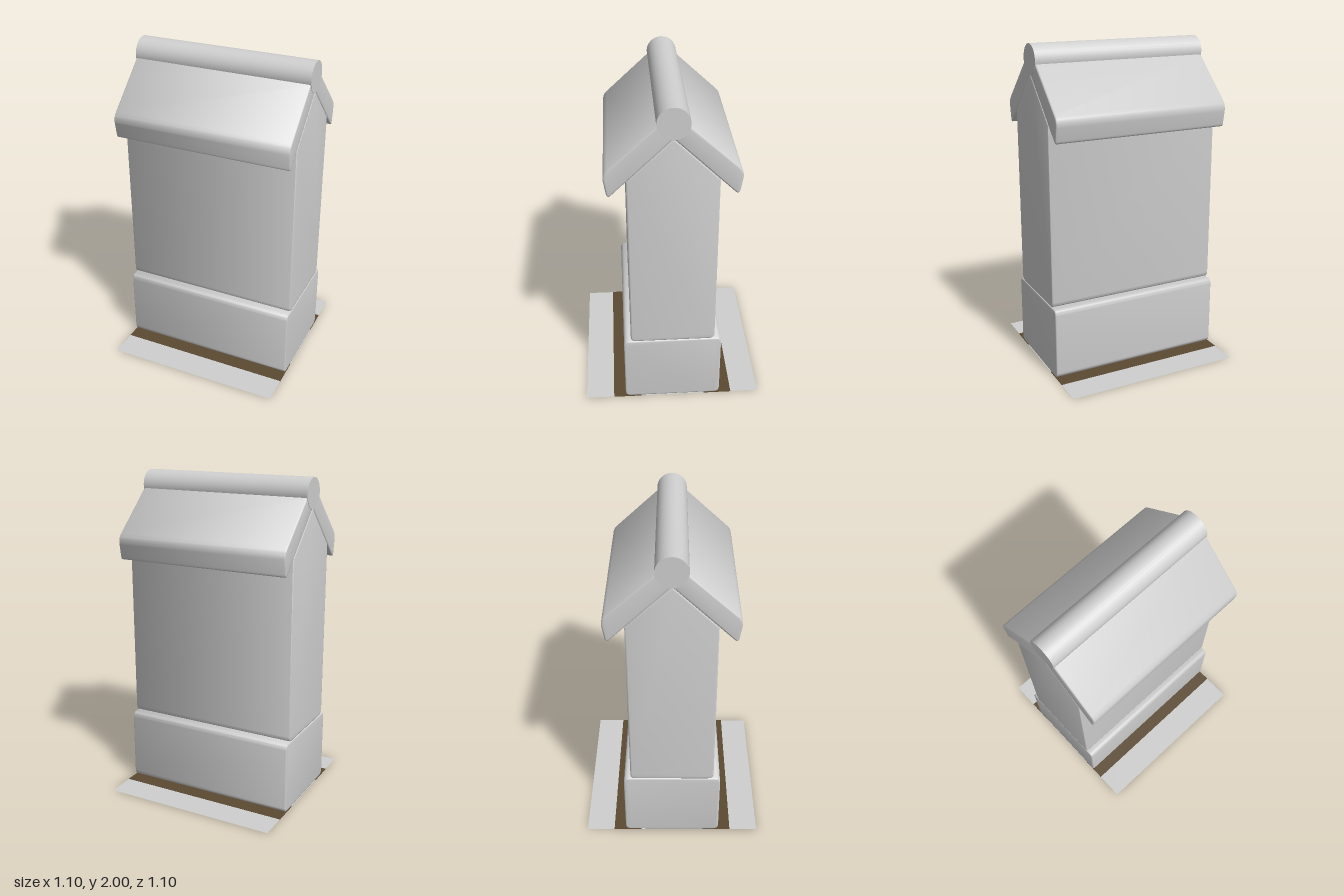
import * as THREE from 'three';
import { toCreasedNormals } from 'three/addons/utils/BufferGeometryUtils.js';

const WIDTH = 1.1;
const BEVEL = 0.006;

// Extrude a (z, y) outline along x; each point is [z, y, cornerRadius]
function prism(points) {
  const shape = new THREE.Shape();
  const n = points.length;
  const at = (i) => new THREE.Vector2(points[(i + n) % n][0], points[(i + n) % n][1]);
  for (let i = 0; i < n; i++) {
    const p = at(i);
    const r = points[i][2] || 0;
    const toward = (q) => p.clone().add(q.sub(p).setLength(r));
    const a = toward(at(i - 1));
    const b = toward(at(i + 1));
    if (i === 0) shape.moveTo(a.x, a.y);
    else shape.lineTo(a.x, a.y);
    if (r > 0) shape.quadraticCurveTo(p.x, p.y, b.x, b.y);
  }
  shape.closePath();
  // Shallow bevel softens the end faces
  const geo = new THREE.ExtrudeGeometry(shape, {
    depth: WIDTH - 2 * BEVEL, curveSegments: 6,
    bevelThickness: BEVEL, bevelSize: 0.01, bevelOffset: -0.01, bevelSegments: 2,
  });
  geo.translate(0, 0, BEVEL - WIDTH / 2);
  geo.rotateY(-Math.PI / 2);
  return toCreasedNormals(geo, 0.75);
}

export function createModel() {
  const model = new THREE.Group();
  model.name = 'gabledWall';
  const stone = new THREE.MeshStandardMaterial({ color: 0xcfcfcf, side: THREE.DoubleSide });
  stone.name = 'lightGrey';
  const earth = new THREE.MeshStandardMaterial({ color: 0x5c4a32 });
  earth.name = 'earthBrown';

  const add = (name, geo, mat = stone) => {
    const mesh = new THREE.Mesh(geo, mat);
    mesh.name = name;
    model.add(mesh);
    return mesh;
  };

  // Flat square plate at the foot
  add('footPlate', new THREE.PlaneGeometry(WIDTH, WIDTH).rotateX(-Math.PI / 2)).position.y = 0.002;

  // Thin earth strips along both long sides of the plinth
  for (const s of [1, -1]) {
    add(s > 0 ? 'frontEarthStrip' : 'backEarthStrip', new THREE.BoxGeometry(WIDTH, 0.004, 0.175), earth)
      .position.set(0, 0.002, s * 0.2875);
  }

  // Rounded plinth
  add('plinth', prism([
    [-0.3, 0.004, 0.035], [0.3, 0.004, 0.035], [0.3, 0.455, 0.035], [-0.3, 0.455, 0.035],
  ]));

  // Wall with gabled top
  add('wall', prism([
    [-0.257, 0.455, 0.035], [0.257, 0.455, 0.035], [0.257, 1.573], [0, 1.822], [-0.257, 1.573],
  ]));

  // Mirrored roof slabs with rounded eaves
  for (const s of [1, -1]) {
    const slab = [
      [0, 1.822], [0.362, 1.471, 0.032], [0.386, 1.617, 0.04], [0.095, 1.886], [0, 1.95],
    ].map(([z, y, r]) => [z * s, y, r]);
    if (s < 0) slab.reverse();
    add(s > 0 ? 'frontRoofSlab' : 'backRoofSlab', prism(slab));
  }

  // Round ridge cap, standing just proud of the slab ends
  const ridge = new THREE.CylinderGeometry(0.092, 0.092, WIDTH + 0.004, 32).rotateZ(Math.PI / 2);
  add('ridgeCap', ridge).position.y = 1.908;

  return model;
}
